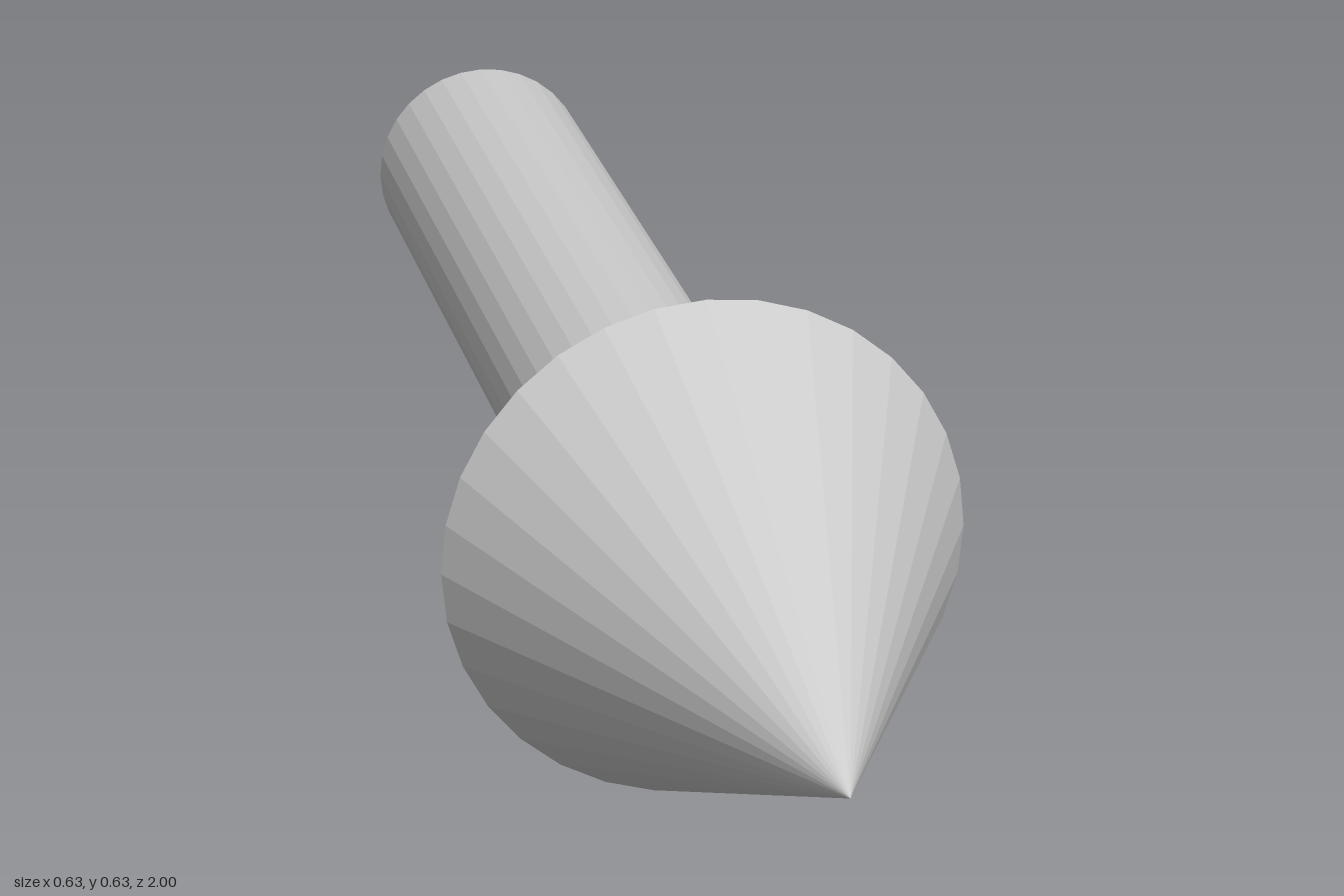
import * as THREE from 'three';

const SIDES = 32;
const HEAD_RADIUS = 0.317;
const SHAFT_RADIUS = 0.145;
const BACK = -1, NECK = 0.34, TIP = 1;

export function createModel() {
  const model = new THREE.Group();
  model.name = 'arrow';
  const material = new THREE.MeshStandardMaterial({ color: 0xcccccc, flatShading: true });

  // Adds a round part lying along z, between two z positions
  const addRound = (name, frontRadius, backRadius, z0, z1) => {
    const geometry = new THREE.CylinderGeometry(frontRadius, backRadius, z1 - z0, SIDES);
    geometry.rotateX(Math.PI / 2);
    const mesh = new THREE.Mesh(geometry, material);
    mesh.name = name;
    mesh.position.set(0, HEAD_RADIUS, (z0 + z1) / 2);
    model.add(mesh);
  };

  // Straight shaft with a flat back end
  addRound('shaft', SHAFT_RADIUS, SHAFT_RADIUS, BACK, NECK);
  // Pointed cone with a flat base around the shaft
  addRound('arrowHead', 0, HEAD_RADIUS, NECK, TIP);

  return model;
}
